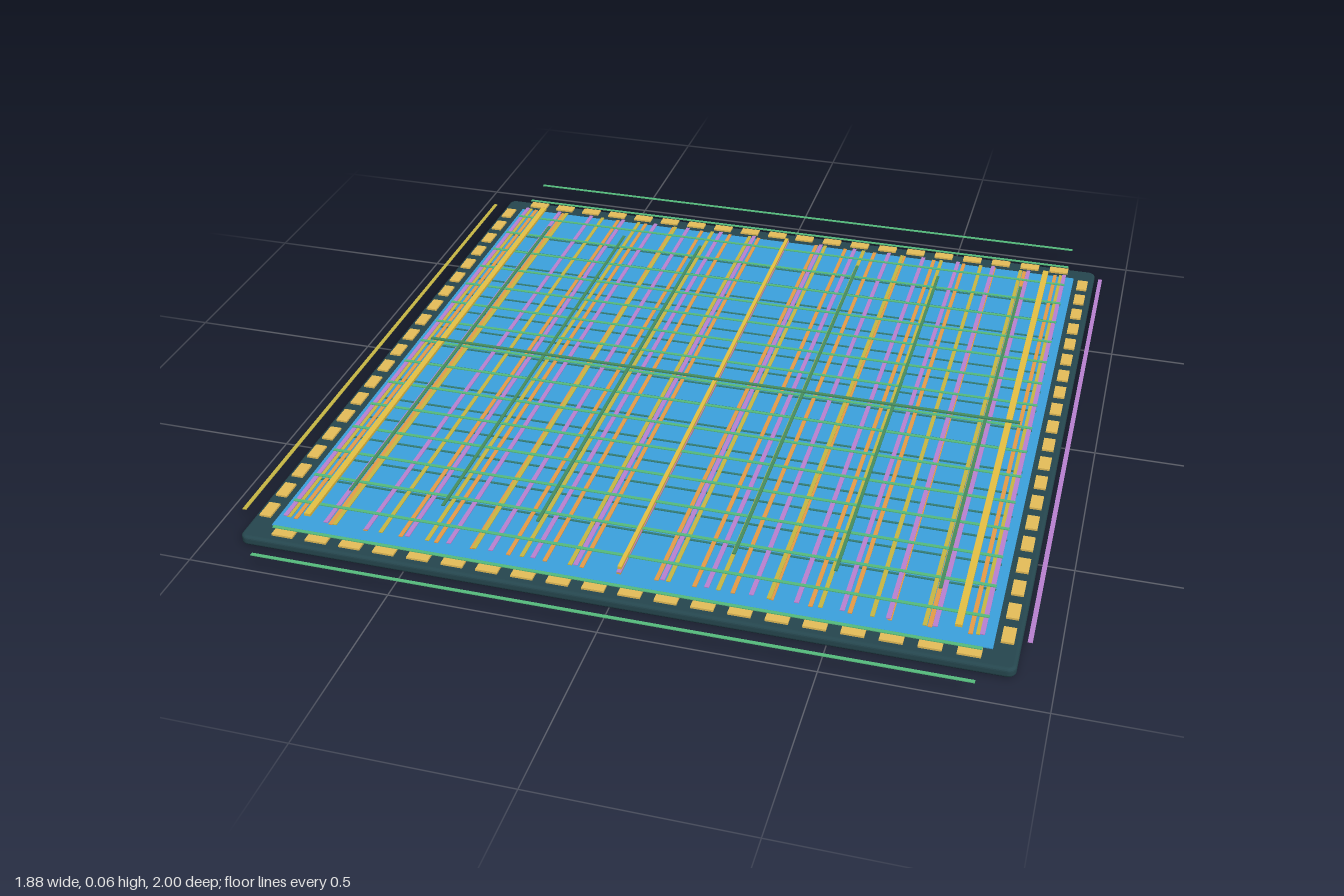
import * as THREE from 'three';

const mat = (name, color) => {
  const m = new THREE.MeshStandardMaterial({ color });
  m.name = name;
  return m;
};

export function createModel() {
  const root = new THREE.Group();
  const M = {
    substrate: mat('dark teal substrate', 0x26474f),
    die: mat('blue die', 0x3ca3e0),
    gold: mat('gold pad', 0xe8c05a),
    teal: mat('teal wire', 0x348078),
    green: mat('green wire', 0x56bd7e),
    orange: mat('orange wire', 0xeba04a),
    purple: mat('purple wire', 0xbb82d2),
    olive: mat('olive wire', 0xc9b944),
    yellow: mat('yellow rail', 0xf2cb48),
    clock: mat('green clock', 0x468f60),
  };

  const box = (parent, name, m, sx, sy, sz, x, y, z) => {
    const mesh = new THREE.Mesh(new THREE.BoxGeometry(sx, sy, sz), m);
    mesh.name = name;
    mesh.position.set(x, y, z);
    parent.add(mesh);
  };
  const group = (name) => {
    const g = new THREE.Group();
    g.name = name;
    root.add(g);
    return g;
  };

  // Substrate: rounded square slab with a soft edge
  const h = 0.907, r = 0.012;
  const s = new THREE.Shape();
  s.moveTo(-h + r, -h);
  s.lineTo(h - r, -h);
  s.absarc(h - r, -h + r, r, -Math.PI / 2, 0);
  s.lineTo(h, h - r);
  s.absarc(h - r, h - r, r, 0, Math.PI / 2);
  s.lineTo(-h + r, h);
  s.absarc(-h + r, h - r, r, Math.PI / 2, Math.PI);
  s.lineTo(-h, -h + r);
  s.absarc(-h + r, -h + r, r, Math.PI, Math.PI * 1.5);
  const slab = new THREE.ExtrudeGeometry(s, {
    depth: 0.009, bevelEnabled: true, bevelSize: 0.008, bevelThickness: 0.008, bevelSegments: 4, curveSegments: 6,
  });
  slab.rotateX(-Math.PI / 2).translate(0, 0.008, 0);
  const substrate = new THREE.Mesh(slab, M.substrate);
  substrate.name = 'substrate';
  root.add(substrate);

  // Die surface
  box(root, 'die', M.die, 1.714, 0.003, 1.714, 0, 0.026, 0);

  // Contact pads around all four sides
  const pads = group('contactPads');
  for (let i = 0; i < 20; i++) {
    const t = -0.82 + (1.64 * i) / 20 + 0.041;
    for (const e of [-0.885, 0.885]) {
      box(pads, 'pad', M.gold, 0.029, 0.005, 0.053, e, 0.032, t * 1.04);
      box(pads, 'pad', M.gold, 0.053, 0.005, 0.029, t * 1.04, 0.032, e);
    }
  }

  // Evenly spaced wires; axis is the direction a wire runs in
  const wires = (name, m, axis, pitch, from, to, width, y) => {
    const g = group(name);
    for (let k = from; k <= to; k++) {
      if (axis === 'x') box(g, 'wire', m, 1.674, 0.002, width, 0, y, k * pitch);
      else box(g, 'wire', m, width, 0.002, 1.674, k * pitch, y, 0);
    }
  };
  wires('tealWires', M.teal, 'x', 0.0953, -7, 7, 0.006, 0.038);
  wires('orangeWires', M.orange, 'z', 0.0893, -9, 9, 0.01, 0.0405);
  wires('oliveWires', M.olive, 'z', 0.1172, -8, 7, 0.01, 0.0425);
  wires('purpleWires', M.purple, 'z', 0.1037, -8, 9, 0.011, 0.0445);
  wires('greenWires', M.green, 'x', 0.1107, -9, 9, 0.009, 0.0465);

  // Power rails, the outer two wider
  const rails = group('powerRails');
  for (const k of [-1, 0, 1]) box(rails, 'rail', M.yellow, k ? 0.016 : 0.01, 0.007, 1.66, k * 0.776, 0.052, 0);

  // Clock trunk with its branches
  const clock = group('clockTree');
  box(clock, 'trunk', M.clock, 1.61, 0.004, 0.009, 0, 0.058, 0);
  for (let k = -3; k <= 3; k++) {
    if (k) box(clock, 'branch', M.clock, 0.008, 0.003, 1.43, k * 0.239, 0.0555, 0);
  }
  return root;
}
